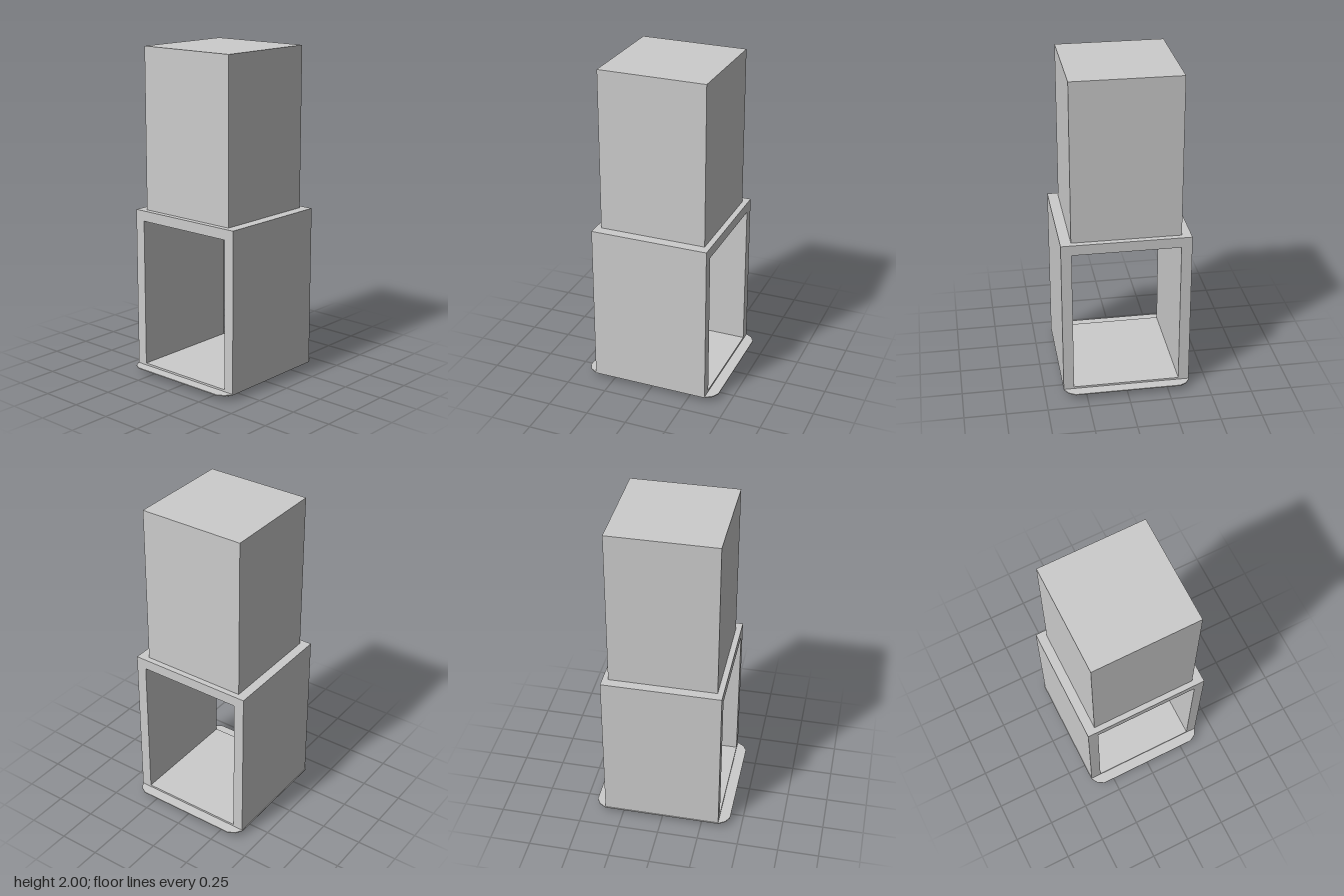
import * as THREE from 'three';

const material = new THREE.MeshStandardMaterial({ color: 0xcccccc, flatShading: true });

function box(name, [x0, x1], [y0, y1], [z0, z1]) {
  const mesh = new THREE.Mesh(new THREE.BoxGeometry(x1 - x0, y1 - y0, z1 - z0), material);
  mesh.name = name;
  mesh.position.set((x0 + x1) / 2, (y0 + y1) / 2, (z0 + z1) / 2);
  return mesh;
}

function rectangle(PathType, x0, x1, y0, y1) {
  return new PathType([[x0, y0], [x1, y0], [x1, y1], [x0, y1]].map(p => new THREE.Vector2(...p)));
}

export function createModel() {
  const group = new THREE.Group();
  const side = [-0.326, 0.325];
  const depth = [-0.327, 0.324];

  // Solid upper block and the short foot below the plate
  group.add(box('upperBlock', side, [1.02, 2], depth));
  group.add(box('foot', side, [0, 0.036], depth));

  // Square sleeve, open from side to side (shape x runs along -z)
  const frame = rectangle(THREE.Shape, -0.388, 0.384, 0.04, 1.02);
  frame.holes.push(rectangle(THREE.Path, -0.325, 0.32, 0.053, 0.957));
  const sleeveGeometry = new THREE.ExtrudeGeometry(frame, { depth: 0.72, bevelEnabled: false });
  sleeveGeometry.translate(0, 0, -0.36).rotateY(Math.PI / 2);
  const sleeve = new THREE.Mesh(sleeveGeometry, material);
  sleeve.name = 'openSleeve';
  group.add(sleeve);

  // Thin base plate with faceted corners
  const corner = [[0.425, 0.323], [0.402, 0.363], [0.361, 0.388]];
  const outline = [];
  for (const [sx, sy] of [[1, 1], [-1, 1], [-1, -1], [1, -1]]) {
    const points = corner.map(([x, y]) => new THREE.Vector2(x * sx, y * sy));
    outline.push(...(sx * sy > 0 ? points : points.reverse()));
  }
  const plateGeometry = new THREE.ExtrudeGeometry(new THREE.Shape(outline), { depth: 0.006, bevelEnabled: false });
  plateGeometry.rotateX(-Math.PI / 2);
  const plate = new THREE.Mesh(plateGeometry, material);
  plate.name = 'basePlate';
  plate.position.y = 0.035;
  group.add(plate);

  return group;
}
